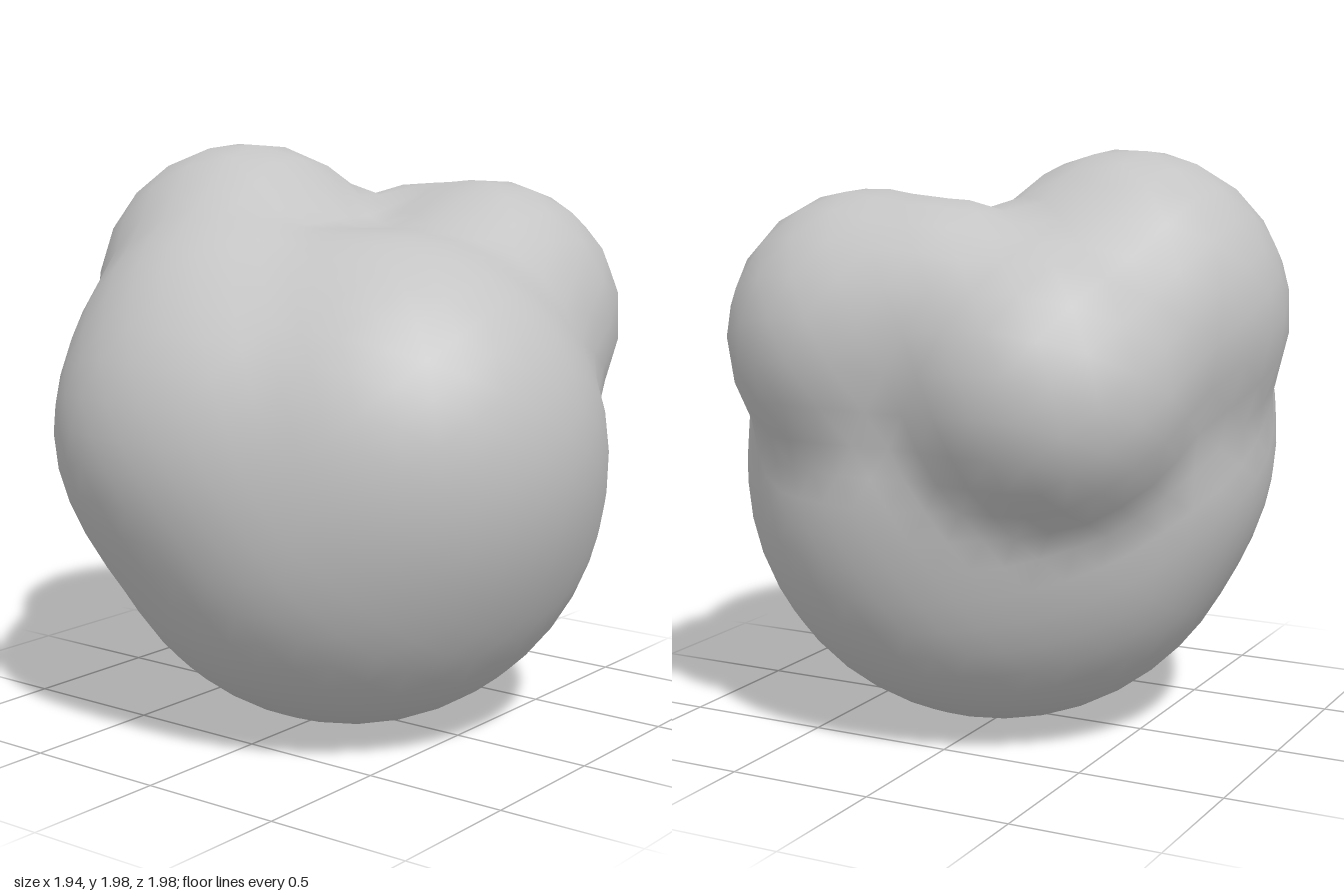
import * as THREE from 'three';
import { mergeVertices } from 'three/addons/utils/BufferGeometryUtils.js';

// Overlapping lobes blended into one skin: centre (relative to the core) and radius
const CORE = new THREE.Vector3(0, 1, 0);
const LOBES = [
  { c: new THREE.Vector3(-0.01, -0.1, 0.045), r: 0.885 }, // main body
  { c: new THREE.Vector3(-0.33, 0.07, -0.17), r: 0.64 },  // left swelling
  { c: new THREE.Vector3(-0.3, 0.33, -0.28), r: 0.47 },   // upper left shoulder
  { c: new THREE.Vector3(-0.1, 0.05, 0.32), r: 0.665 },   // front swelling
  { c: new THREE.Vector3(-0.05, 0, -0.35), r: 0.555 },    // back swelling
  { c: new THREE.Vector3(0.47, 0.4, 0.27), r: 0.485 },    // front bump
  { c: new THREE.Vector3(0.5, 0.5, -0.03), r: 0.36 },     // bridge between bumps
  { c: new THREE.Vector3(0.04, 0.47, -0.45), r: 0.54 },   // top back bump
  { c: new THREE.Vector3(0.5, 0.27, -0.37), r: 0.48 },    // side bump
];
// Shallow hollows: direction, depth and angular width
const HOLLOWS = [
  { d: new THREE.Vector3(0, 1, 0.12).normalize(), depth: 0.05, width: 0.28 },
  { d: new THREE.Vector3(0.9, -0.33, -0.3).normalize(), depth: 0.055, width: 0.42 },
];

// Distance from the core to the far side of a lobe along a direction
function exitDistance(dir, { c, r }) {
  const b = dir.dot(c);
  const disc = b * b - c.lengthSq() + r * r;
  return disc > 0 ? b + Math.sqrt(disc) : 0;
}

function smoothMax(a, b, k) {
  const h = Math.max(k - Math.abs(a - b), 0) / k;
  return Math.max(a, b) + h * h * k * 0.25;
}

function skinRadius(dir) {
  let radius = LOBES.map((lobe) => exitDistance(dir, lobe)).reduce((a, b) => smoothMax(a, b, 0.11));
  for (const { d, depth, width } of HOLLOWS) {
    const angle = dir.angleTo(d) / width;
    radius -= depth * Math.exp(-angle * angle);
  }
  return radius;
}

export function createModel() {
  const grey = new THREE.MeshStandardMaterial({ color: 0xc4c4c4 });
  grey.name = 'grey';

  // Push every vertex of a sphere out to the blended skin
  let geometry = new THREE.IcosahedronGeometry(1, 8);
  geometry.deleteAttribute('normal');
  geometry.deleteAttribute('uv');
  geometry = mergeVertices(geometry, 1e-4);
  const position = geometry.attributes.position;
  const v = new THREE.Vector3();
  for (let i = 0; i < position.count; i++) {
    v.fromBufferAttribute(position, i).normalize();
    v.multiplyScalar(skinRadius(v)).add(CORE);
    position.setXYZ(i, v.x, v.y, v.z);
  }
  geometry.computeVertexNormals();

  // Stand the body on the ground
  geometry.computeBoundingBox();
  geometry.translate(0, -geometry.boundingBox.min.y, 0);

  const body = new THREE.Mesh(geometry, grey);
  body.name = 'lumpyBody';
  const model = new THREE.Group();
  model.name = 'lumpyBoulder';
  model.add(body);
  return model;
}
